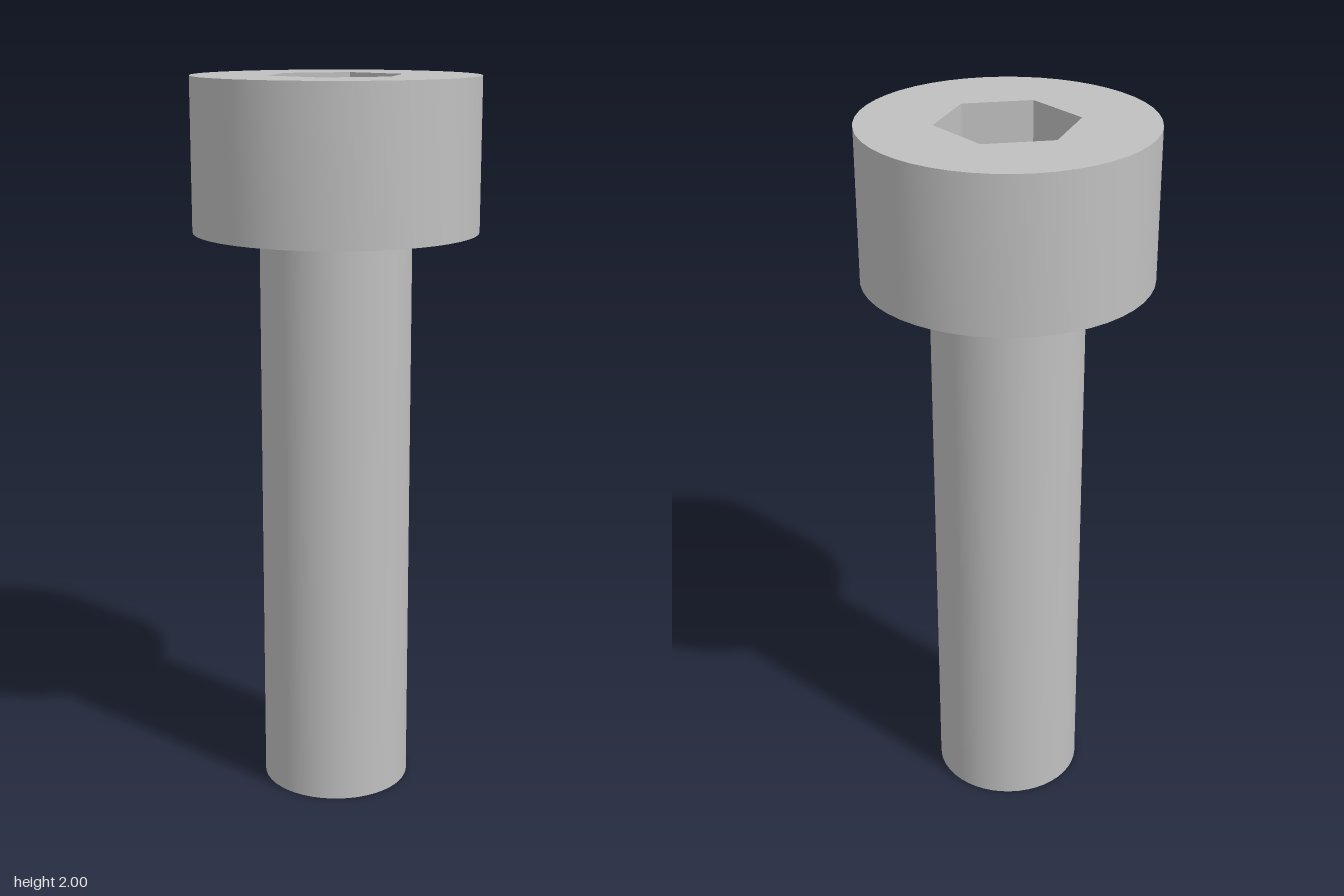
import * as THREE from 'three';
import { toCreasedNormals } from 'three/addons/utils/BufferGeometryUtils.js';

const SIDES = 48;
const HEAD_RADIUS = 0.388, HEAD_BOTTOM = 1.587, TOP = 2;
const SHANK_RADIUS = 0.207;
const SOCKET_RADIUS = 0.189, SOCKET_DEPTH = 0.23;

// Corner points of a regular polygon, first corner on +x
function polygon(radius, sides) {
  return Array.from({ length: sides }, (_, i) => {
    const a = (i / sides) * Math.PI * 2;
    return new THREE.Vector2(radius * Math.cos(a), radius * Math.sin(a));
  });
}

export function createModel() {
  const group = new THREE.Group();
  group.name = 'socketHeadBolt';
  const steel = new THREE.MeshStandardMaterial({ color: 0xc0c0c0 });
  steel.name = 'steel grey';

  const add = (name, geometry, y) => {
    const mesh = new THREE.Mesh(geometry, steel);
    mesh.name = name;
    mesh.position.y = y;
    group.add(mesh);
  };

  // Head: round collar with a hexagonal hole
  const hexagon = polygon(SOCKET_RADIUS, 6);
  const outline = new THREE.Shape(polygon(HEAD_RADIUS, SIDES));
  outline.holes.push(new THREE.Path(hexagon));
  const head = new THREE.ExtrudeGeometry(outline, { depth: TOP - HEAD_BOTTOM, bevelEnabled: false });
  head.rotateX(-Math.PI / 2);
  add('head', toCreasedNormals(head, Math.PI / 6), HEAD_BOTTOM);

  // Floor of the hexagonal socket
  const floor = new THREE.ShapeGeometry(new THREE.Shape(hexagon));
  floor.rotateX(-Math.PI / 2);
  add('socketFloor', floor, TOP - SOCKET_DEPTH);

  // Plain shank
  const shank = new THREE.CylinderGeometry(SHANK_RADIUS, SHANK_RADIUS, HEAD_BOTTOM, SIDES);
  add('shank', shank, HEAD_BOTTOM / 2);

  return group;
}
